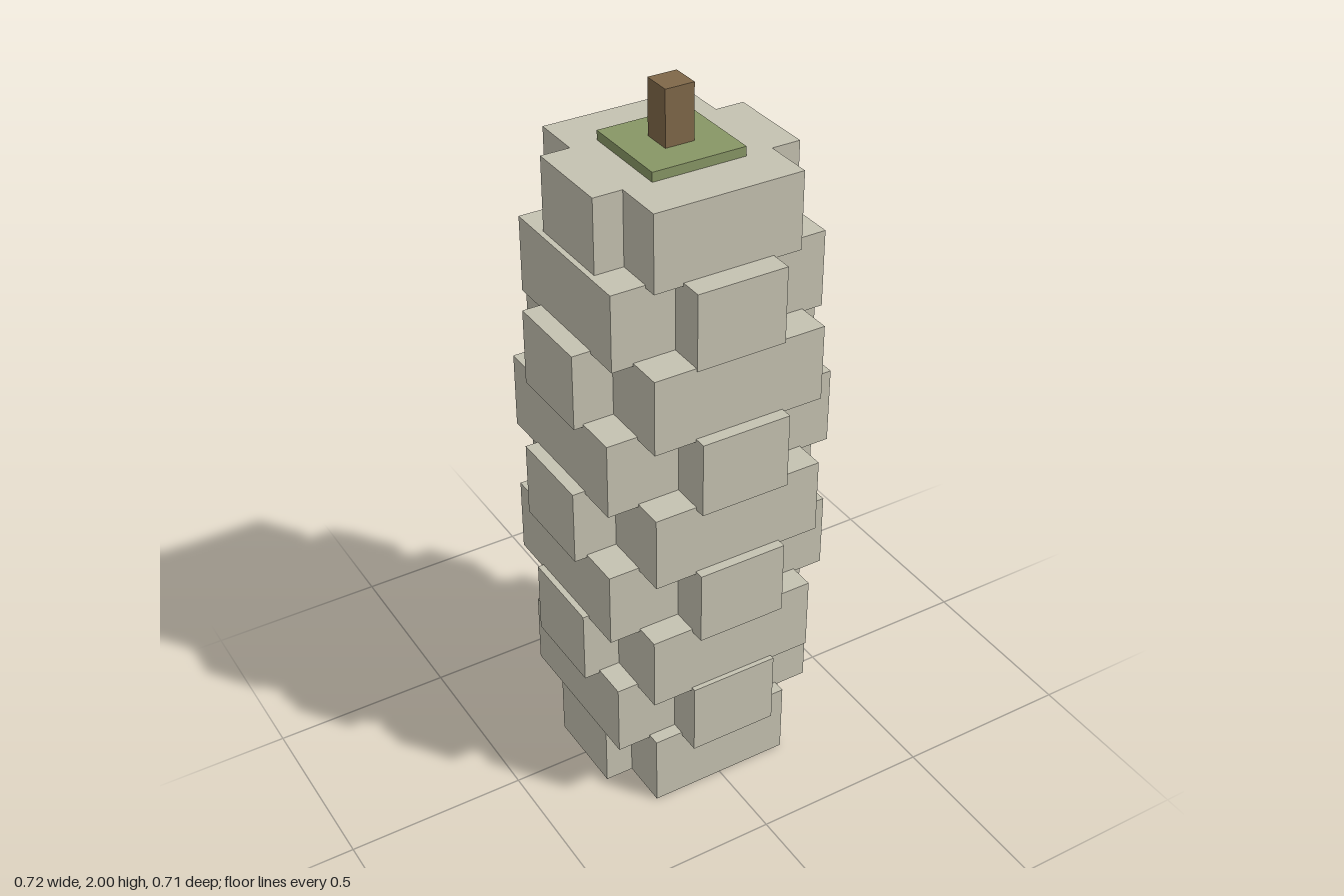
import * as THREE from 'three';

const PITCH = 0.2018, HEIGHT = 0.21;

// Half sizes of the two crossed blocks in each tier, bottom to top: [x1, z1, x2, z2]
const TIERS = [
  [0.285, 0.125, 0.205, 0.262],
  [0.300, 0.225, 0.125, 0.326],
  [0.344, 0.125, 0.240, 0.312],
  [0.327, 0.240, 0.125, 0.354],
  [0.362, 0.125, 0.241, 0.327],
  [0.327, 0.241, 0.125, 0.356],
  [0.352, 0.125, 0.241, 0.322],
  [0.300, 0.225, 0.125, 0.325],
  [0.285, 0.125, 0.205, 0.262],
];

// Plus-shaped prism: wide arm x1 by z1 crossed with deep arm x2 by z2
function crossPrism([x1, z1, x2, z2]) {
  const quarter = [[x1, z1], [x2, z1], [x2, z2]];
  const points = [];
  for (const [sx, sz] of [[1, 1], [-1, 1], [-1, -1], [1, -1]]) {
    const corner = quarter.map(([x, z]) => new THREE.Vector2(x * sx, z * sz));
    points.push(...(sx * sz > 0 ? corner : corner.reverse()));
  }
  const geometry = new THREE.ExtrudeGeometry(new THREE.Shape(points), { depth: HEIGHT, bevelEnabled: false });
  return geometry.rotateX(-Math.PI / 2);
}

function block(name, half, y0, y1, material) {
  const mesh = new THREE.Mesh(new THREE.BoxGeometry(half * 2, y1 - y0, half * 2), material);
  mesh.position.y = (y0 + y1) / 2;
  mesh.name = name;
  return mesh;
}

export function createModel() {
  const body = new THREE.MeshStandardMaterial({ name: 'pale body', color: 0xc5c2b1 });
  const green = new THREE.MeshStandardMaterial({ name: 'green cap', color: 0x889665 });
  const brown = new THREE.MeshStandardMaterial({ name: 'brown stem', color: 0x7f6849 });
  const model = new THREE.Group();
  model.name = 'blockyPod';

  // Stacked body tiers
  TIERS.forEach((tier, i) => {
    const mesh = new THREE.Mesh(crossPrism(tier), body);
    mesh.position.y = i * PITCH;
    mesh.name = `bodyTier${i + 1}`;
    model.add(mesh);
  });

  // Cap and stem
  const top = (TIERS.length - 1) * PITCH + HEIGHT;
  model.add(block('cap', 0.129, top, 1.85, green));
  model.add(block('stem', 0.04, 1.85, 2, brown));
  return model;
}
